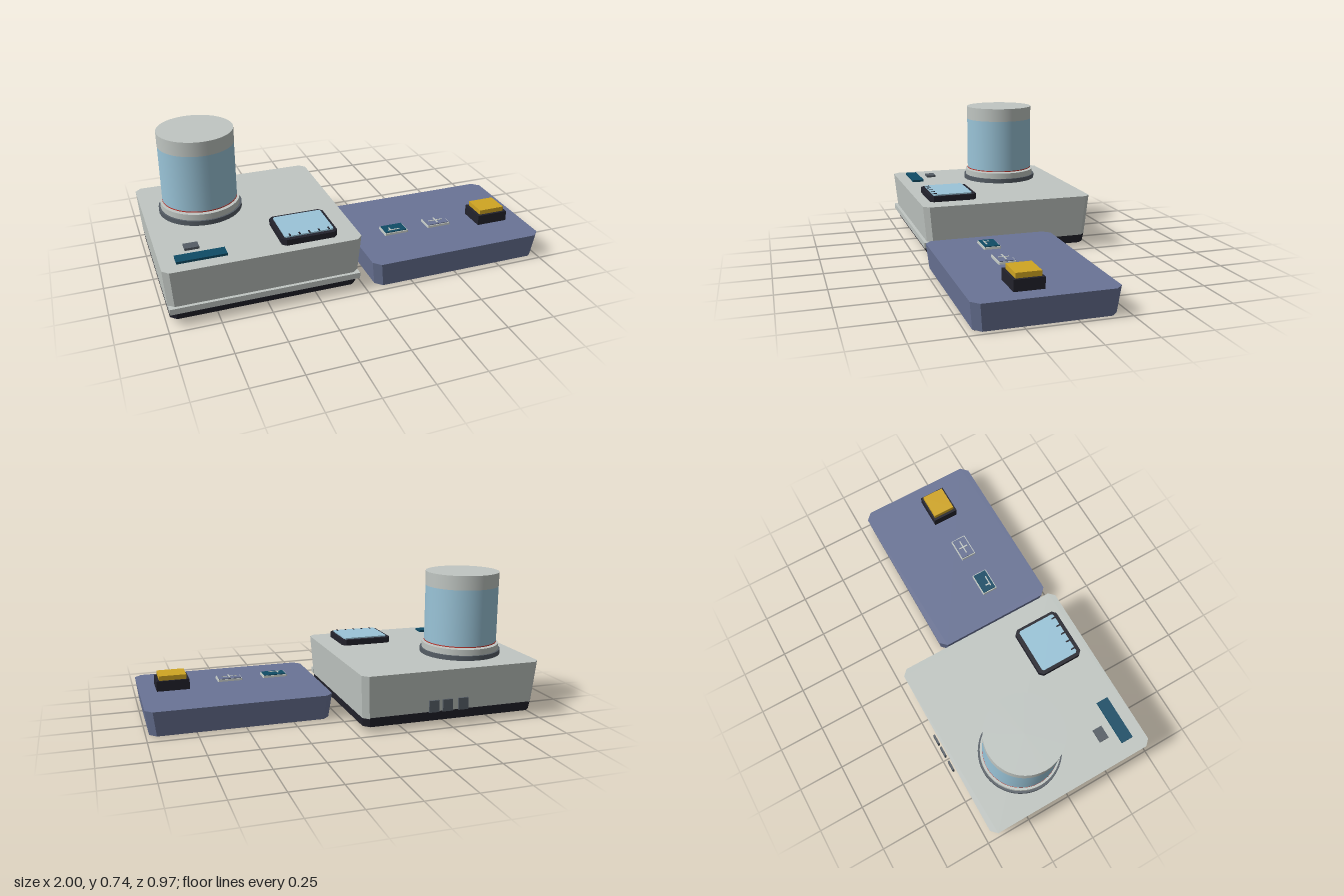
import * as THREE from 'three';

const mat = (name, color) => {
  const m = new THREE.MeshStandardMaterial({ color });
  m.name = name;
  return m;
};

export function createModel() {
  const root = new THREE.Group();
  root.name = 'deskDevice';
  const grey = mat('lightGrey', 0xc0c6c2);
  const blue = mat('slateBlue', 0x6a7496);
  const dark = mat('nearBlack', 0x22222c);
  const teal = mat('deepTeal', 0x0f4c66);
  const sky = mat('paleBlue', 0x9ac4d8);
  const yellow = mat('amber', 0xd0a522);
  const steel = mat('steelGrey', 0x555d65);
  const red = mat('red', 0xc0342c);

  const add = (name, geometry, material, x = 0, y = 0, z = 0) => {
    const m = new THREE.Mesh(geometry, material);
    m.name = name;
    m.position.set(x, y, z);
    root.add(m);
    return m;
  };

  // Box given by its limits
  const box = (name, material, x0, x1, y0, y1, z0, z1) =>
    add(name, new THREE.BoxGeometry(x1 - x0, y1 - y0, z1 - z0), material,
      (x0 + x1) / 2, (y0 + y1) / 2, (z0 + z1) / 2);

  // Prism with cut corners; its foot (or top) may be drawn in
  const prism = (name, material, x0, x1, y0, y1, z0, z1, cut, foot = [1, 1], top = [1, 1]) => {
    const a = (x1 - x0) / 2, b = (z1 - z0) / 2, h = y1 - y0;
    const shape = new THREE.Shape([
      [-a + cut, -b], [a - cut, -b], [a, -b + cut], [a, b - cut],
      [a - cut, b], [-a + cut, b], [-a, b - cut], [-a, -b + cut],
    ].map(p => new THREE.Vector2(...p)));
    const g = new THREE.ExtrudeGeometry(shape, { depth: h, bevelEnabled: false });
    g.rotateX(-Math.PI / 2);
    const p = g.attributes.position;
    for (let i = 0; i < p.count; i++) {
      const s = p.getY(i) < h / 2 ? foot : top;
      p.setX(i, p.getX(i) * s[0]);
      p.setZ(i, p.getZ(i) * s[1]);
    }
    g.computeVertexNormals();
    return add(name, g, material, (x0 + x1) / 2, y0, (z0 + z1) / 2);
  };

  const disc = (name, material, r, y0, y1, x, z) =>
    add(name, new THREE.CylinderGeometry(r, r, y1 - y0, 48), material, x, (y0 + y1) / 2, z);

  // Main unit: tapered housing, dark base, front lip and feet
  prism('mainHousing', grey, -1, -0.02, 0.075, 0.3, -0.478, 0.468, 0.03, [0.97, 0.955]);
  prism('mainBase', dark, -0.985, -0.035, 0.03, 0.08, -0.458, 0.45, 0.03, [0.99, 0.98]);
  box('frontLip', grey, -0.985, -0.035, 0.075, 0.105, 0.43, 0.467);
  for (const x of [-0.87, -0.15])
    for (const z of [-0.33, 0.34]) disc('mainFoot', dark, 0.037, 0, 0.031, x, z);

  // Canister standing on its collar
  const cx = -0.7, cz = -0.147;
  disc('collarRing', steel, 0.216, 0.3, 0.325, cx, cz);
  disc('collarStep', grey, 0.206, 0.325, 0.357, cx, cz);
  disc('sealLine', red, 0.195, 0.364, 0.369, cx, cz);
  disc('canister', sky, 0.194, 0.369, 0.668, cx, cz);
  disc('canisterCap', grey, 0.195, 0.668, 0.743, cx, cz);

  // Display with tick marks along its front edge
  prism('displayFrame', dark, -0.415, -0.13, 0.3, 0.331, 0.152, 0.41, 0.02);
  prism('displayGlass', sky, -0.397, -0.146, 0.331, 0.338, 0.174, 0.388, 0.008);
  for (let i = 0; i < 5; i++) {
    const x = -0.37 + i * 0.05;
    box('displayTick', dark, x - 0.004, x + 0.004, 0.337, 0.34, 0.366, 0.388);
  }

  // Top controls
  box('tealStrip', teal, -0.925, -0.682, 0.3, 0.312, 0.335, 0.4);
  box('smallButton', steel, -0.866, -0.795, 0.3, 0.312, 0.238, 0.29);

  // Rear sockets
  for (const x of [-0.562, -0.475, -0.4])
    box('rearSocket', steel, x - 0.027, x + 0.027, 0.085, 0.147, -0.486, -0.476);

  // Side unit: tapered tray and pads
  prism('trayHousing', blue, 0.04, 1, 0.005, 0.135, -0.205, 0.483, 0.036, [0.965, 0.96]);
  for (const x of [0.13, 0.91])
    for (const z of [-0.137, 0.422])
      box('trayPad', dark, x - 0.04, x + 0.04, 0, 0.006, z - 0.038, z + 0.038);

  // Amber push button
  box('buttonBase', dark, 0.737, 0.91, 0.135, 0.19, 0.13, 0.276);
  box('pushButton', yellow, 0.752, 0.895, 0.19, 0.215, 0.14, 0.263);

  // Two key plates with coloured faces and raised marks
  for (const [x, face] of [[0.265, teal], [0.515, blue]]) {
    prism('keyPlate', grey, x - 0.067, x + 0.067, 0.152, 0.163, 0.153, 0.242, 0.003, [1, 1], [0.97, 0.97]);
    box('keyFace', face, x - 0.06, x + 0.06, 0.163, 0.167, 0.159, 0.235);
  }
  const mark = (x0, x1, z0, z1) => box('keyMark', grey, x0, x1, 0.166, 0.169, z0, z1);
  mark(0.236, 0.244, 0.19, 0.216);
  mark(0.226, 0.29, 0.213, 0.22);
  mark(0.474, 0.556, 0.193, 0.2);
  mark(0.511, 0.519, 0.17, 0.224);

  return root;
}
